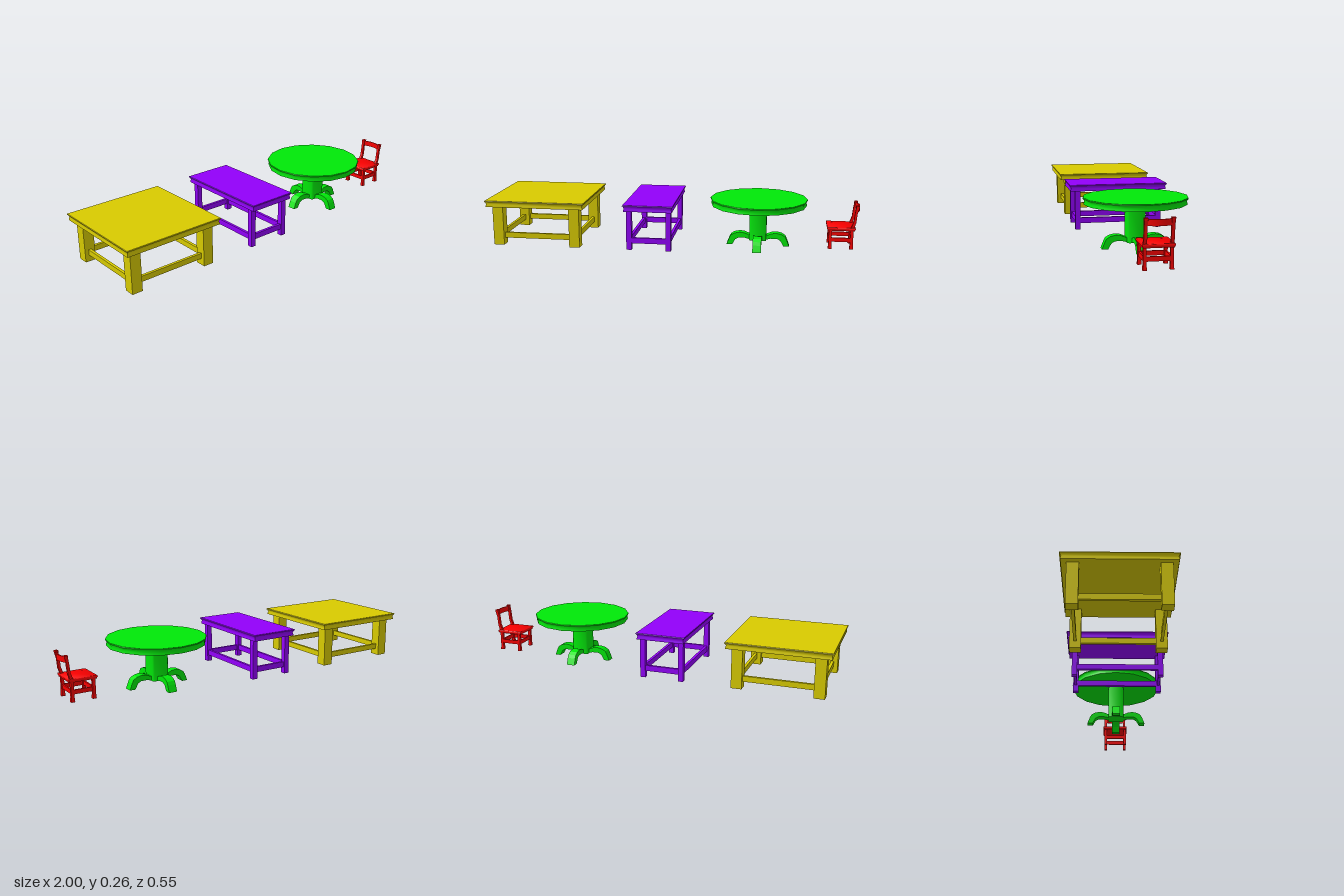
import * as THREE from 'three';
import { toCreasedNormals } from 'three/addons/utils/BufferGeometryUtils.js';

const mat = (color) => new THREE.MeshStandardMaterial({ color });
const YELLOW = mat(0xd8cb00), PURPLE = mat(0x9200fa), GREEN = mat(0x00e808), RED = mat(0xfa0000);

function add(parent, name, geometry, material, x = 0, y = 0, z = 0) {
  const mesh = new THREE.Mesh(geometry, material);
  mesh.name = name;
  mesh.position.set(x, y, z);
  parent.add(mesh);
  return mesh;
}

// box given by its width, bottom, top and depth
function block(parent, name, material, w, y0, y1, d, x, z) {
  return add(parent, name, new THREE.BoxGeometry(w, y1 - y0, d), material, x, (y0 + y1) / 2, z);
}

// extrusion of an outline, centred on its depth
function slab(points, depth) {
  const shape = new THREE.Shape(points.map(([x, y]) => new THREE.Vector2(x, y)));
  const g = new THREE.ExtrudeGeometry(shape, { depth, bevelEnabled: false });
  return g.translate(0, 0, -depth / 2);
}

// moulded slab edge turned around the y axis: [inset, y] pairs from bottom to top
function moulded(edge, radius, sides) {
  const pts = edge.map(([inset, y]) => new THREE.Vector2(radius - inset, y));
  pts.unshift(new THREE.Vector2(0, edge[0][1]));
  pts.push(new THREE.Vector2(0, edge[edge.length - 1][1]));
  return new THREE.LatheGeometry(pts, sides);
}

// four-sided moulded slab stretched to a rectangle with an even edge
function mouldedRect(edge, hx, hz) {
  const g = moulded(edge, 1, 4).rotateY(Math.PI / 4);
  const p = g.attributes.position;
  for (let i = 0; i < p.count; i++) {
    const r = Math.hypot(p.getX(i), p.getZ(i));
    if (r < 0.01) continue;
    p.setX(i, Math.sign(p.getX(i)) * (hx - (1 - r)));
    p.setZ(i, Math.sign(p.getZ(i)) * (hz - (1 - r)));
  }
  return toCreasedNormals(g, 0.9);
}

const TOP_EDGE = [[0.006, 0.225], [0.006, 0.232], [0.009, 0.242], [0.005, 0.25], [0, 0.256], [0.002, 0.26]];

// four rails joining the leg centres
function rails(parent, material, cx, lx, lz, thick, y0, y1) {
  for (const s of [-1, 1]) {
    block(parent, 'sideRail', material, thick, y0, y1, 2 * lz, cx + s * lx, 0);
    block(parent, 'endRail', material, 2 * lx, y0, y1, thick, cx, s * lz);
  }
}

function rectTable(name, material, cx, hx, hz, leg, overhang) {
  const table = new THREE.Group();
  table.name = name;
  add(table, 'tableTop', mouldedRect(TOP_EDGE, hx, hz), material, cx);
  const lx = hx - overhang[0] - leg / 2, lz = hz - overhang[1] - leg / 2;
  for (const sx of [-1, 1]) for (const sz of [-1, 1])
    block(table, 'tableLeg', material, leg, 0.01, 0.226, leg, cx + sx * lx, sz * lz);
  rails(table, material, cx, lx, lz, 0.015, 0.045, 0.075);
  return table;
}

function roundTable() {
  const table = new THREE.Group();
  table.name = 'roundTable';
  table.position.x = 0.46;
  add(table, 'roundTop', toCreasedNormals(moulded(TOP_EDGE, 0.2655, 16), 1), GREEN, 0, 0, -0.002);

  // square pedestal with softened corners
  const a = 0.046, b = 0.038;
  const column = slab([[a, -b], [a, b], [b, a], [-b, a], [-a, b], [-a, -b], [-b, -a], [b, -a]], 0.194);
  column.rotateX(-Math.PI / 2);
  add(table, 'pedestal', toCreasedNormals(column, 0.9), GREEN, 0, 0.129);

  // four arched feet
  const foot = slab([
    [0.03, 0.036], [0.05, 0.035], [0.07, 0.04], [0.105, 0.04], [0.123, 0.03], [0.14, 0],
    [0.171, 0], [0.157, 0.036], [0.148, 0.053], [0.128, 0.065], [0.1, 0.071], [0.075, 0.068],
    [0.05, 0.058], [0.03, 0.055],
  ], 0.046);
  for (let i = 0; i < 4; i++) add(table, 'archedFoot', foot, GREEN).rotation.y = (i * Math.PI) / 2;
  return table;
}

// chair upright that swells sideways at the foot and at the top of the post
function upright(points) {
  const g = slab(points, 0.0155);
  const p = g.attributes.position;
  for (let i = 0; i < p.count; i++)
    if (p.getY(i) < 0.02 || p.getY(i) > 0.24) p.setZ(i, p.getZ(i) * 1.2);
  g.computeVertexNormals();
  return g;
}

function chair() {
  const group = new THREE.Group();
  group.name = 'chair';
  const seatEdge = [[0.004, 0.111], [0.003, 0.117], [0, 0.121], [0, 0.127], [0.002, 0.129]];
  add(group, 'seat', mouldedRect(seatEdge, 0.0745, 0.0755), RED, 0.9035);

  // front legs flare at the foot; rear legs run up into the leaning back posts
  const frontLeg = upright([[0.837, 0.01], [0.857, 0.01], [0.855, 0.035], [0.855, 0.114], [0.839, 0.114], [0.839, 0.035]]);
  const backPost = upright([
    [0.95, 0.01], [0.97, 0.01], [0.968, 0.035], [0.968, 0.12], [0.979, 0.155], [0.984, 0.21],
    [0.992, 0.235], [0.993, 0.248], [0.975, 0.248], [0.975, 0.235], [0.971, 0.21], [0.966, 0.16],
    [0.953, 0.125], [0.952, 0.035],
  ]);
  for (const s of [-1, 1]) {
    add(group, 'frontLeg', frontLeg, RED, 0, 0, s * 0.0615);
    add(group, 'backPost', backPost, RED, 0, 0, s * 0.0615);
  }
  rails(group, RED, 0.9035, 0.0565, 0.0615, 0.009, 0.049, 0.071);

  // backrest board bowed backward between the posts
  const inner = [], outer = [];
  for (let i = 0; i <= 8; i++) {
    const t = i / 4 - 1, x = 0.977 + 0.016 * (1 - t * t);
    inner.push([x, t * 0.06]);
    outer.unshift([x + 0.007, t * 0.06]);
  }
  const board = slab([...inner, ...outer], 0.03).rotateX(-Math.PI / 2);
  add(group, 'backrest', toCreasedNormals(board, 0.6), RED, 0, 0.227);
  return group;
}

export function createModel() {
  const model = new THREE.Group();
  model.name = 'furnitureSet';
  model.add(
    rectTable('squareTable', YELLOW, -0.7275, 0.2725, 0.273, 0.057, [0.033, 0.032]),
    rectTable('narrowTable', PURPLE, -0.1105, 0.1345, 0.273, 0.0285, [0.0145, 0.032]),
    roundTable(),
    chair(),
  );
  return model;
}
